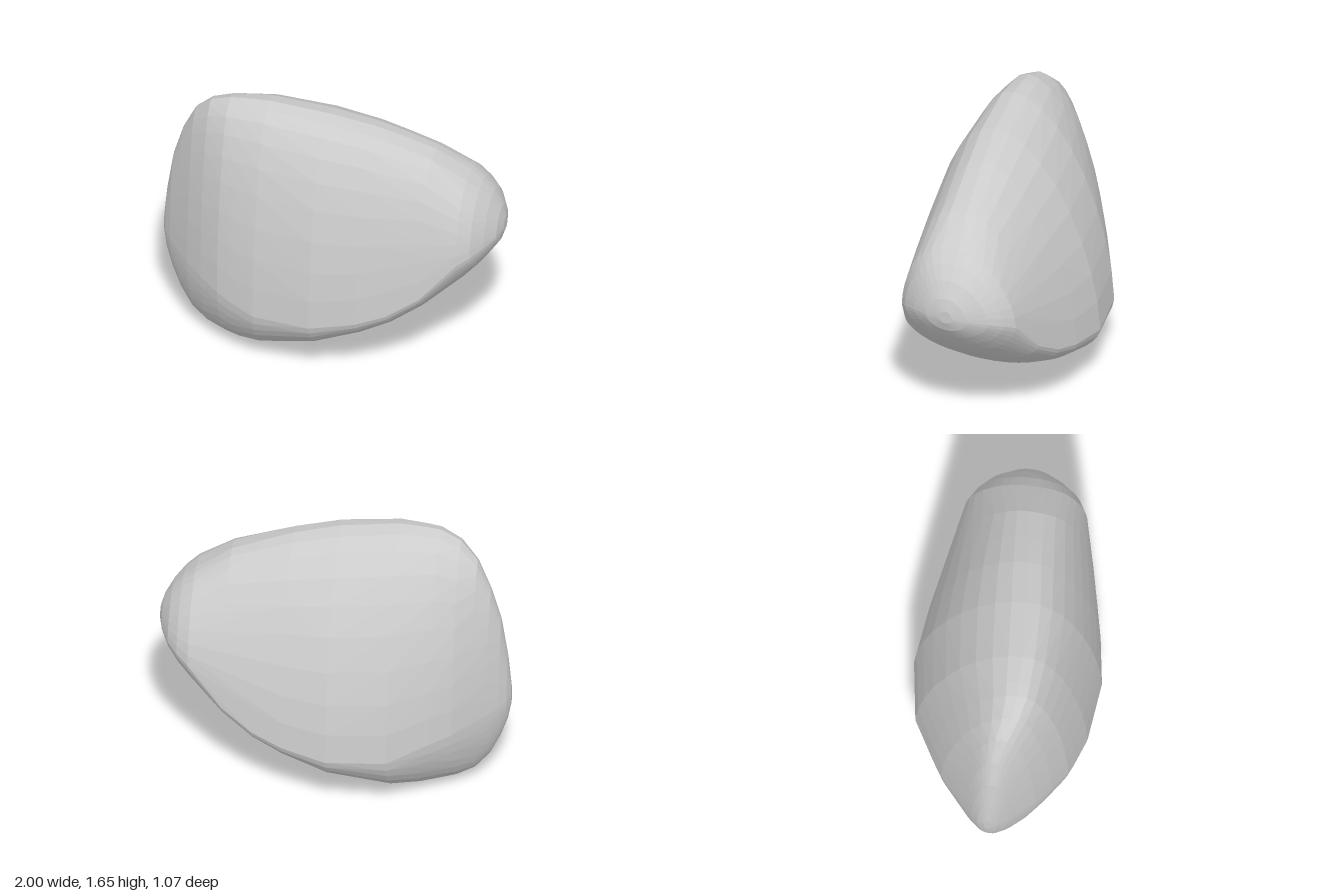
import * as THREE from 'three';
import { ConvexGeometry } from 'three/addons/geometries/ConvexGeometry.js';

// Cross-sections along x: [x, yBottom, yWidest, yTop, zTop, zFront, zBack, frontPower]
const sections = [
  [-1, 0.54, 0.6, 0.67, 0, 0.02, -0.02, 0.5],
  [-0.98, 0.43, 0.59, 0.86, 0.01, 0.06, -0.06, 0.5],
  [-0.94, 0.31, 0.57, 1.11, 0.02, 0.11, -0.1, 0.5],
  [-0.88, 0.18, 0.54, 1.31, 0.03, 0.17, -0.15, 0.5],
  [-0.8, 0.08, 0.52, 1.48, 0.06, 0.25, -0.21, 0.48],
  [-0.7, 0.03, 0.5, 1.58, 0.1, 0.33, -0.3, 0.46],
  [-0.58, 0.01, 0.47, 1.63, 0.12, 0.41, -0.37, 0.45],
  [-0.5, 0, 0.44, 1.64, 0.12, 0.44, -0.41, 0.45],
  [-0.35, 0.02, 0.4, 1.65, 0.12, 0.49, -0.49, 0.45],
  [-0.01, 0.13, 0.41, 1.615, 0.1, 0.53, -0.54, 0.45],
  [0.25, 0.25, 0.46, 1.56, 0.07, 0.49, -0.5, 0.43],
  [0.42, 0.345, 0.52, 1.505, 0.05, 0.45, -0.46, 0.4],
  [0.6, 0.48, 0.64, 1.44, 0.03, 0.405, -0.41, 0.36],
  [0.8, 0.655, 0.87, 1.31, 0, 0.345, -0.35, 0.32],
  [0.87, 0.735, 0.91, 1.25, 0, 0.3, -0.3, 0.36],
  [0.93, 0.81, 0.94, 1.18, 0, 0.22, -0.23, 0.42],
  [0.98, 0.88, 0.96, 1.09, 0, 0.13, -0.12, 0.5],
  [1, 0.94, 0.97, 1.02, 0, 0.04, -0.04, 0.5],
];

// Points from the widest level to the tip (top or bottom) of one side of a section
const steps = [0, 0.15, 0.3, 0.46, 0.62, 0.75, 0.86, 0.94, 0.985, 1];
function sidePoints(x, yWide, yTip, zWide, zTip, power) {
  return steps.map((u) => {
    const w = Math.pow(1 - Math.pow(u, 1.6), power);
    return new THREE.Vector3(x, THREE.MathUtils.lerp(yWide, yTip, u), THREE.MathUtils.lerp(zTip, zWide, w));
  });
}

export function createModel() {
  const group = new THREE.Group();
  group.name = 'rock';

  // Faceted boulder: hull over all sections
  const points = sections.flatMap(([x, yBottom, yWide, yTop, zTop, zFront, zBack, frontPower]) => [
    ...sidePoints(x, yWide, yTop, zFront, zTop, frontPower),
    ...sidePoints(x, yWide, yTop, zBack, zTop, 0.54),
    ...sidePoints(x, yWide, yBottom, zFront, zTop / 3, 0.47),
    ...sidePoints(x, yWide, yBottom, zBack, zTop / 3, 0.47),
  ]);
  const boulder = new THREE.Mesh(
    new ConvexGeometry(points),
    new THREE.MeshStandardMaterial({ color: 0xcccccc, flatShading: true }),
  );
  boulder.name = 'boulder';
  group.add(boulder);
  return group;
}
